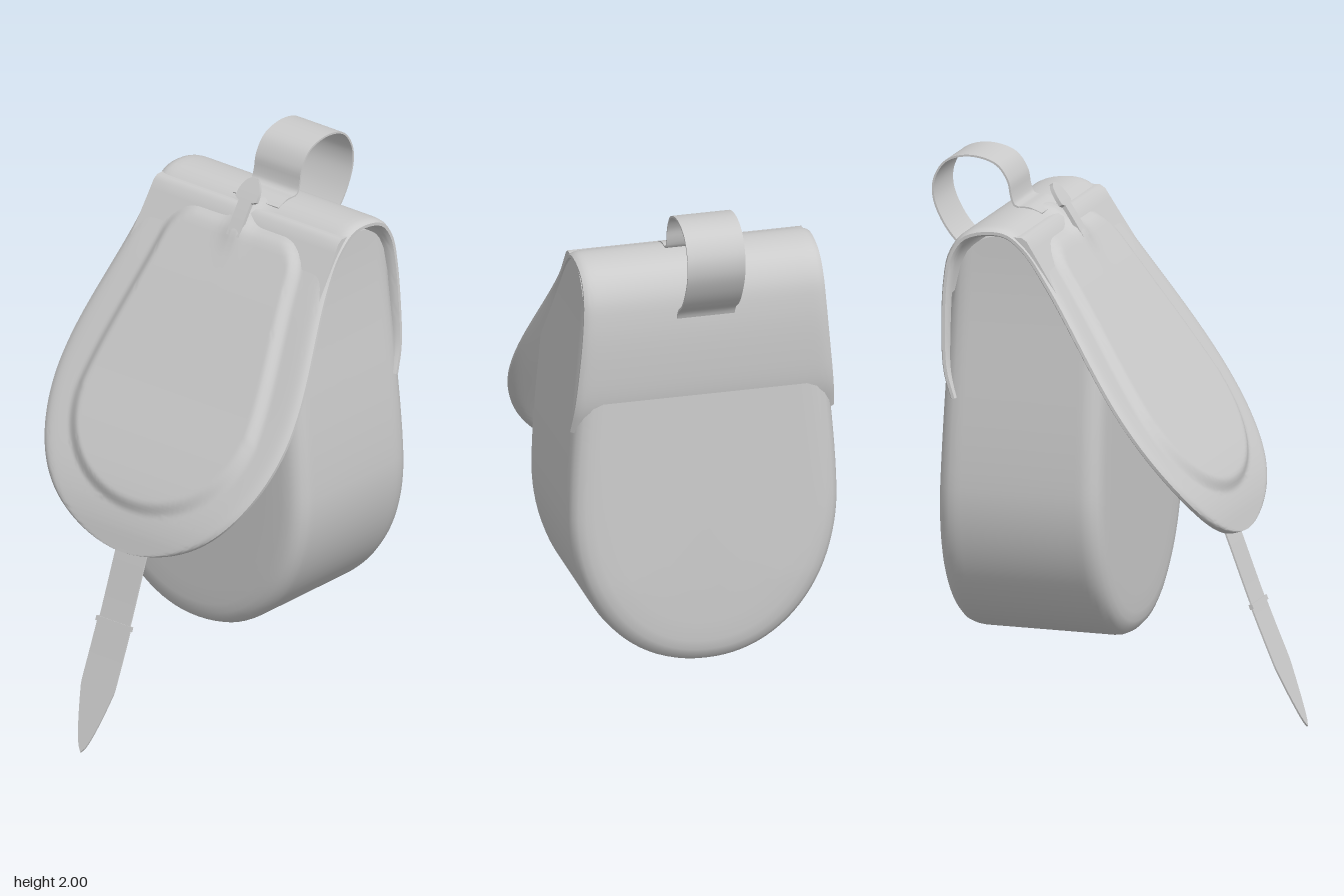
import * as THREE from 'three';
import { toCreasedNormals } from 'three/addons/utils/BufferGeometryUtils.js';

const material = new THREE.MeshStandardMaterial({ color: 0xcccccc, side: THREE.DoubleSide });
const { lerp, clamp, smoothstep } = THREE.MathUtils;

// Skin a list of equal closed rings and cap both ends.
function loft(rings, crease = 0.7) {
  const n = rings[0].length, pos = rings.flat(2), index = [];
  for (let i = 0; i < rings.length - 1; i++) {
    for (let j = 0; j < n; j++) {
      const k = (j + 1) % n, a = i * n + j, b = i * n + k;
      index.push(a, b, a + n, b, b + n, a + n);
    }
  }
  [0, rings.length - 1].forEach((r, end) => {
    const c = pos.length / 3;
    for (let k = 0; k < 3; k++) pos.push(rings[r].reduce((s, p) => s + p[k], 0) / n);
    for (let j = 0; j < n; j++) {
      const a = r * n + j, b = r * n + (j + 1) % n;
      index.push(c, end ? a : b, end ? b : a);
    }
  });
  const geo = new THREE.BufferGeometry();
  geo.setAttribute('position', new THREE.Float32BufferAttribute(pos, 3));
  geo.setIndex(index);
  return toCreasedNormals(geo, crease);
}

// Sheet of leather following a [z, y] path; width and relief are rules.
function sheet(path, { rows, cols, thick, width, relief = () => 0, ease = (t) => t, round = 0 }) {
  const curve = new THREE.CatmullRomCurve3(path.map(([z, y]) => new THREE.Vector3(0, y, z)), false, 'centripetal');
  const rings = [];
  for (let i = 0; i <= rows; i++) {
    const t = ease(i / rows), p = curve.getPointAt(t), d = curve.getTangentAt(t);
    const hw = Math.max(width(p, t), 0.0005), ring = [];
    for (const side of [1, -1]) {
      for (let j = 0; j <= cols; j++) {
        const v = side * (1 - 2 * j / cols), x = v * hw;
        const edge = round * Math.abs(v) ** 30;
        const off = side > 0 ? relief(x, p) - edge : edge - thick;
        ring.push([x, p.y + d.z * off, p.z - d.y * off]);
      }
    }
    rings.push(ring);
  }
  return loft(rings);
}

const bodyWidth = (y) => lerp(0.492, 0.426, smoothstep(y, 0.85, 1.85));

// Pouch body: U-shaped section, sloping and rounded at the top under the flap.
function bodyGeometry() {
  const stations = [[-0.55, 0.3], [-0.55, 0.16], [-0.55, 0.09], [-0.546, 0.055], [-0.535, 0.028], [-0.518, 0.011], [-0.495, 0.003]];
  for (let i = 0; i <= 24; i++) stations.push([lerp(-0.47, 0, i / 24), 0]);
  stations.push([0.02, 0.002], [0.042, 0.012], [0.058, 0.028], [0.067, 0.052], [0.07, 0.085], [0.07, 0.16], [0.07, 0.3]);
  const topAt = (z) => {
    const arc = 1.63 + Math.sqrt(Math.max(0, 0.165 ** 2 - Math.min(0, z + 0.34) ** 2));
    return Math.min(z < -0.505 ? 1.6 : arc, 1.335 - 1.468 * (z - 0.07));
  };
  const rings = stations.map(([z, inset]) => {
    const ring = [], top = topAt(z) - inset, mid = 0.88;
    const add = (x, y) => {
      const back = clamp((0.07 - z) / 0.62, 0, 1);
      ring.push([x, y, z + 0.035 * clamp((y - 0.6) / 1, 0, 1) * back]);
    };
    for (let i = 0; i <= 48; i++) {
      const a = -Math.PI + Math.PI * i / 48, c = Math.cos(a);
      add(Math.sign(c) * Math.abs(c) ** 0.94 * (bodyWidth(mid) - inset), mid + Math.sin(a) * (0.59 - inset));
    }
    const sideAt = (s) => [bodyWidth(lerp(mid, top, s)) - inset, lerp(mid, top, s)];
    for (let i = 1; i <= 14; i++) add(...sideAt(i / 14));
    const w = sideAt(1)[0];
    for (let i = 1; i < 10; i++) add(lerp(w, -w, i / 10), top);
    for (let i = 14; i > 0; i--) { const [x, y] = sideAt(i / 14); add(-x, y); }
    return ring;
  });
  return loft(rings, 0.8);
}

// Flap outline: narrow over the top, swelling to a round lower edge.
function flapWidth(p) {
  if (p.z < -0.35) return bodyWidth(p.y) + 0.008;
  if (p.y > 1.2) return lerp(0.53, 0.434, smoothstep(p.y, 1.2, 1.76));
  return 0.53 * Math.sqrt(Math.max(0, 1 - ((1.2 - p.y) / 0.5) ** 2));
}

// Raised panel on the flap front, plus a soft bump beneath the top tab.
function flapRelief(x, p) {
  if (p.z < -0.35) return 0;
  let d;
  if (p.y < 1.15) d = 0.35 * (1 - Math.hypot(x / 0.415, (1.15 - p.y) / 0.31));
  else {
    const r = 0.12, side = lerp(0.415, 0.31, smoothstep(p.y, 1.1, 1.78)) - Math.abs(x);
    d = r - Math.hypot(Math.max(0, r - side), Math.max(0, r - (1.76 - p.y)));
    if (p.y > 1.76) d = -1;
  }
  const bump = 0.018 * Math.exp(-((x / 0.05) ** 2) - ((p.z + 0.22) / 0.06) ** 2);
  return 0.022 * smoothstep(d, -0.005, 0.045) + bump;
}

export function createModel() {
  const model = new THREE.Group();
  const add = (name, geometry) => {
    const mesh = new THREE.Mesh(geometry, material);
    mesh.name = name;
    model.add(mesh);
    return mesh;
  };

  add('pouchBody', bodyGeometry());

  // Cover sheet: rises from the back, rolls over the top and hangs open in front
  add('flap', sheet(
    [[-0.49, 1.2], [-0.522, 1.3], [-0.535, 1.45], [-0.533, 1.62], [-0.515, 1.72], [-0.465, 1.79], [-0.38, 1.82],
      [-0.29, 1.815], [-0.22, 1.765], [-0.12, 1.635], [0.14, 1.255], [0.38, 0.9], [0.43, 0.8], [0.462, 0.7]],
    { rows: 120, cols: 100, thick: 0.035, width: flapWidth, relief: flapRelief, ease: (t) => 1 - (1 - t) ** 1.7, round: 0.012 }));

  // Closing strap with a pointed end, hanging below the flap
  add('closingStrap', sheet(
    [[0.055, 1.33], [0.085, 1.25], [0.138, 1.13], [0.22, 1.01], [0.31, 0.9], [0.36, 0.8], [0.405, 0.69], [0.5, 0.44], [0.6, 0.2], [0.685, 0]],
    {
      rows: 70, cols: 6, thick: 0.006,
      width: (p) => (p.y > 0.44 ? 0.07 : 0.076) * (p.y < 0.22 ? Math.max(0, p.y / 0.22) ** 0.65 : 1),
    }));

  // Small keeper band where the strap widens
  const keeper = add('strapKeeper', new THREE.BoxGeometry(0.16, 0.018, 0.014));
  keeper.position.set(0, 0.435, 0.5);
  keeper.rotation.x = -0.38;

  // Belt loop at the back of the top
  add('beltLoop', sheet(
    [[-0.27, 1.81], [-0.32, 1.827], [-0.37, 1.83], [-0.383, 1.86], [-0.395, 1.915], [-0.44, 1.975], [-0.54, 2], [-0.63, 1.975],
      [-0.675, 1.91], [-0.68, 1.84], [-0.65, 1.76], [-0.6, 1.69], [-0.545, 1.645], [-0.52, 1.58]],
    { rows: 70, cols: 6, thick: -0.007, width: () => 0.105, relief: () => 0 }));

  // Little tab standing up at the top of the flap
  add('topTab', sheet(
    [[-0.15, 1.71], [-0.19, 1.775], [-0.23, 1.835], [-0.272, 1.892]],
    { rows: 24, cols: 6, thick: 0.01, width: (p) => p.y < 1.82 ? 0.028 : 0.048 * Math.sqrt(Math.max(0.04, 1 - ((p.y - 1.83) / 0.063) ** 2)) , relief: () => 0.004 }));

  return model;
}
